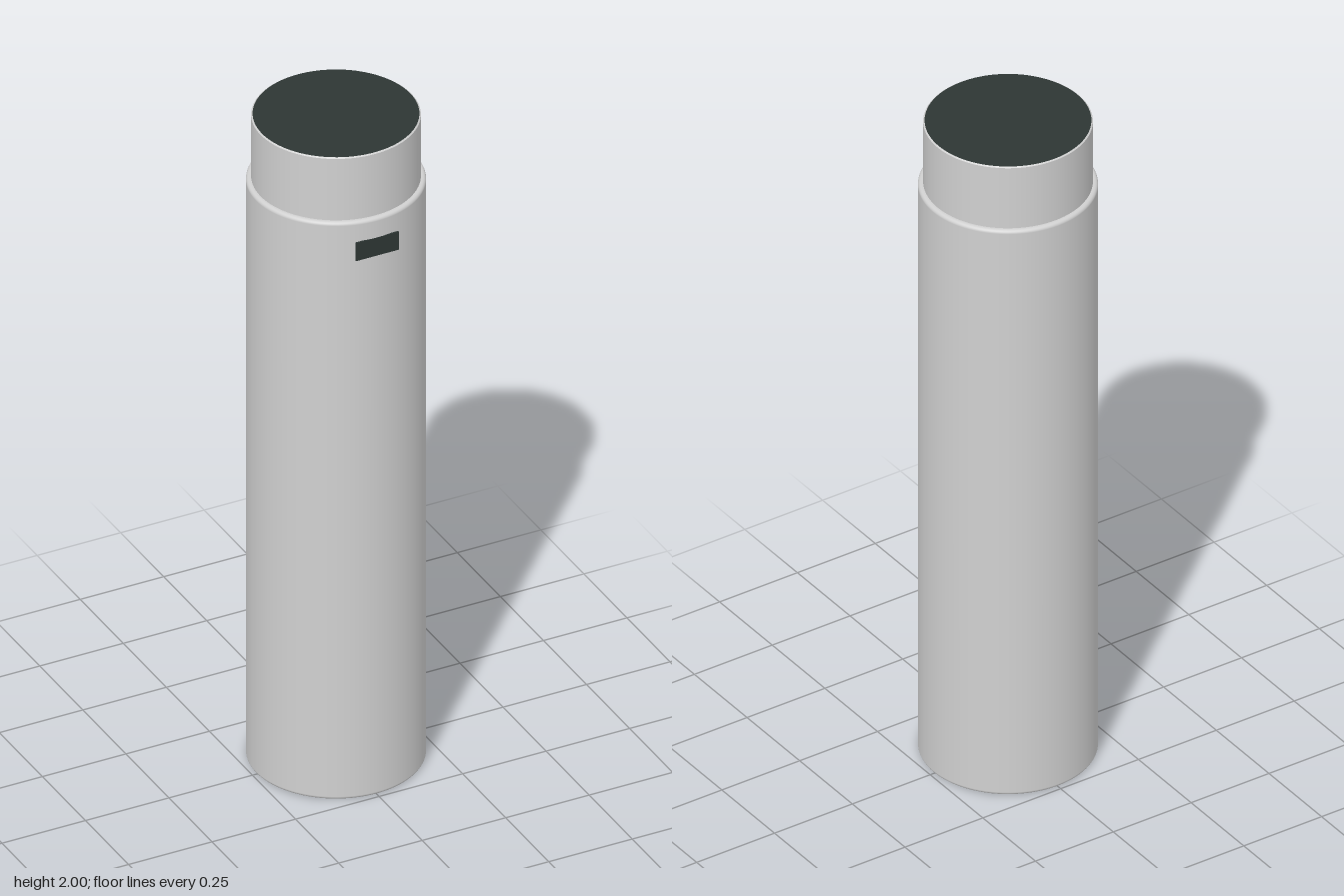
import * as THREE from 'three';

const SEGMENTS = 96;

export function createModel() {
  const shell = new THREE.MeshStandardMaterial({ color: 0xd0d0d0 });
  shell.name = 'light grey shell';
  const dark = new THREE.MeshStandardMaterial({ color: 0x2d3634 });
  dark.name = 'dark slate';

  const model = new THREE.Group();
  model.name = 'cylinder device';

  const add = (name, geometry, material, parent = model) => {
    const mesh = new THREE.Mesh(geometry, material);
    mesh.name = name;
    parent.add(mesh);
    return mesh;
  };
  const lathe = (points) =>
    new THREE.LatheGeometry(points.map(([r, y]) => new THREE.Vector2(r, y)), SEGMENTS);
  // Quarter-round edge between the wall and an end face
  const roundEdge = (radius, y, bevel, from, to, steps = 5) =>
    Array.from({ length: steps + 1 }, (_, i) => {
      const a = from + ((to - from) * i) / steps;
      return [radius - bevel + bevel * Math.cos(a), y + bevel * Math.sin(a)];
    });

  // Main tube with softly rounded rims
  const R = 0.24, H = 1.805, B = 0.01;
  const body = new THREE.Group();
  body.name = 'body';
  model.add(body);
  add('bodyWall', lathe([
    ...roundEdge(R, B, B, -Math.PI / 2, 0),
    ...roundEdge(R, H - B, B, 0, Math.PI / 2),
  ]), shell, body);
  add('bodyBase', new THREE.CircleGeometry(R - B, SEGMENTS), shell, body).rotation.x = Math.PI / 2;
  const shoulder = add('bodyShoulder', new THREE.RingGeometry(0.22, R - B, SEGMENTS), shell, body);
  shoulder.rotation.x = -Math.PI / 2;
  shoulder.position.y = H;

  // Narrower neck with a thin rim around the dark top
  add('neck', lathe([[0.226, H - 0.02], [0.226, 1.997]]), shell);
  add('neckRim', lathe([[0.226, 1.997], [0.222, 2]]), shell);
  const top = add('topDisc', new THREE.CircleGeometry(0.222, SEGMENTS), dark);
  top.rotation.x = -Math.PI / 2;
  top.position.y = 2;

  // Small flat display on the front
  add('frontDisplay', new THREE.BoxGeometry(0.128, 0.056, 0.005), dark)
    .position.set(0, 1.716, 0.2385);

  return model;
}
